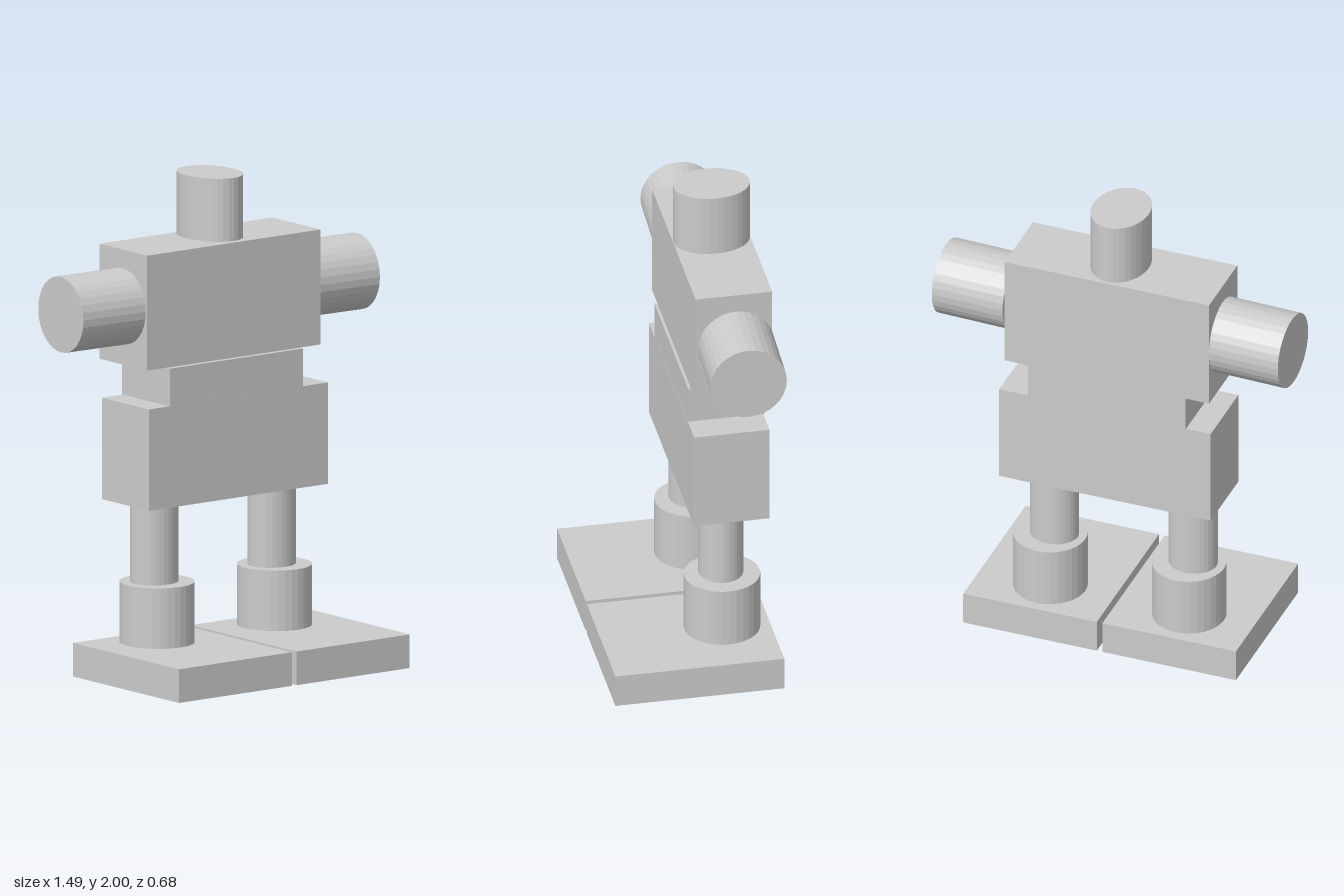
import * as THREE from 'three';

const material = new THREE.MeshStandardMaterial({ color: 0xcccccc, flatShading: true });

export function createModel() {
  const model = new THREE.Group();

  function add(name, geometry, x, y, z) {
    const mesh = new THREE.Mesh(geometry, material);
    mesh.name = name;
    mesh.position.set(x, y, z);
    model.add(mesh);
    return mesh;
  }

  // Block given by its extents on each axis
  function block(name, [x0, x1], [y0, y1], [z0, z1]) {
    return add(name, new THREE.BoxGeometry(x1 - x0, y1 - y0, z1 - z0),
      (x0 + x1) / 2, (y0 + y1) / 2, (z0 + z1) / 2);
  }

  // Upright cylinder with an elliptical section
  function column(name, x, [y0, y1], z, rx, rz) {
    const geometry = new THREE.CylinderGeometry(1, 1, y1 - y0, 32).scale(rx, 1, rz);
    return add(name, geometry, x, (y0 + y1) / 2, z);
  }

  // Body
  column('head', -0.006, [1.745, 2], -0.17, 0.117, 0.154);
  block('torso', [-0.44, 0.43], [1.273, 1.738], [-0.327, -0.017]);
  block('waist', [-0.335, 0.335], [1.118, 1.27], [-0.315, -0.006]);
  block('hips', [-0.44, 0.46], [0.708, 1.118], [-0.31, -0.005]);

  // Arms: both turned slightly the same way about the vertical axis
  for (const [name, x, z] of [['rightArm', -0.59, -0.181], ['leftArm', 0.583, -0.176]]) {
    const geometry = new THREE.CylinderGeometry(0.153, 0.153, 0.305, 32).rotateZ(Math.PI / 2);
    add(name, geometry, x, 1.51, z).rotation.y = -0.035;
  }

  // Legs and feet
  for (const [side, x, foot] of [['right', -0.29, [-0.56, 0.008]], ['left', 0.3, [0.032, 0.6]]]) {
    column(side + 'Thigh', x - 0.013, [0.385, 0.708], -0.148, 0.099, 0.09);
    column(side + 'Shin', x + 0.003, [0.138, 0.383], -0.15, 0.148, 0.152);
    block(side + 'Foot', foot, [0, 0.136], [-0.342, 0.342]);
  }

  return model;
}
